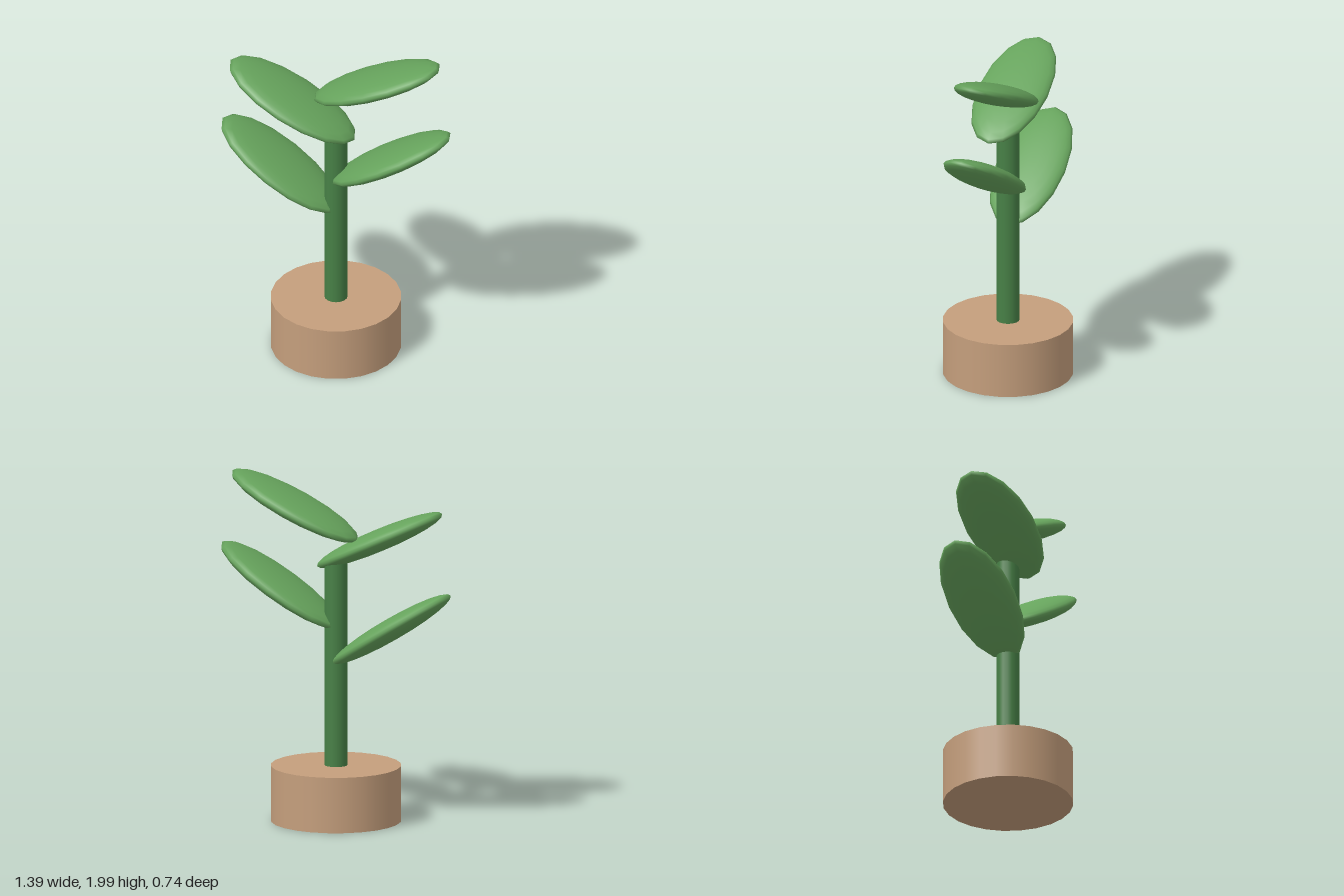
import * as THREE from 'three';

const paint = (name, color) => {
  const m = new THREE.MeshStandardMaterial({ color });
  m.name = name;
  return m;
};

export function createModel() {
  const clay = paint('clay', 0xc49e7c);
  const stemGreen = paint('stemGreen', 0x478046);
  const leafGreen = paint('leafGreen', 0x66a35c);

  const plant = new THREE.Group();
  plant.name = 'pottedPlant';
  const add = (name, geometry, material, x, y, z) => {
    const mesh = new THREE.Mesh(geometry, material);
    mesh.name = name;
    mesh.position.set(x, y, z);
    plant.add(mesh);
    return mesh;
  };

  // Solid round pot and straight stem
  add('pot', new THREE.CylinderGeometry(0.37, 0.37, 0.32, 24), clay, 0, 0.16, 0);
  add('stem', new THREE.CylinderGeometry(0.066, 0.066, 1.2, 16), stemGreen, 0, 0.9, 0);

  // Flattened oval leaves, rising outward on alternating sides
  const leaf = new THREE.SphereGeometry(1, 16, 12);
  leaf.scale(0.418, 0.209, 0.209);
  leaf.scale(1, 0.3, 1);
  const leaves = [
    ['lowerRightLeaf', -0.34, 1.13, 0, -32],
    ['lowerLeftLeaf', 0.34, 1.335, 0, 32],
    ['upperRightLeaf', -0.24, 1.625, 0.065, -25],
    ['upperLeftLeaf', 0.24, 1.805, -0.028, 25],
  ];
  for (const [name, x, y, z, tilt] of leaves) {
    add(name, leaf, leafGreen, x, y, z).rotation.z = THREE.MathUtils.degToRad(tilt);
  }
  return plant;
}
